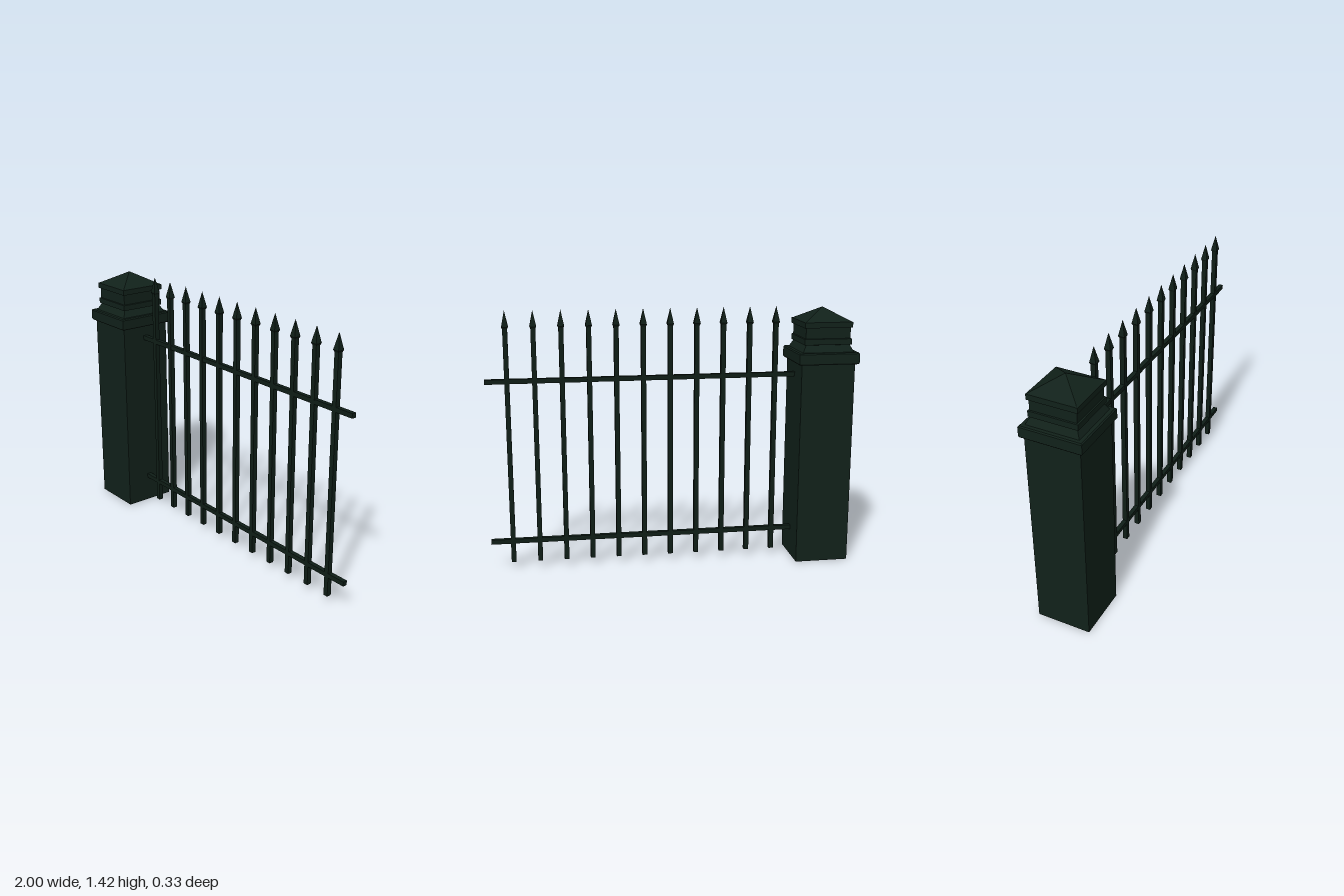
import * as THREE from 'three';

const postPaint = new THREE.MeshStandardMaterial({ color: 0x11211a, flatShading: true });
const railPaint = new THREE.MeshStandardMaterial({ color: 0x0f1e17, flatShading: true });

// Square turned shape from [half width, height] pairs, bottom to top
function squareProfile(pairs) {
  const points = pairs.map(([half, y]) => new THREE.Vector2(half * Math.SQRT2, y));
  return new THREE.LatheGeometry(points, 4, Math.PI / 4);
}

function addMesh(parent, name, geometry, material, x = 0, y = 0) {
  const mesh = new THREE.Mesh(geometry, material);
  mesh.name = name;
  mesh.position.set(x, y, 0);
  parent.add(mesh);
}

export function createModel() {
  const model = new THREE.Group();
  model.name = 'fenceSection';

  // Pillar: square shaft and stepped, pyramid-topped cap
  const post = new THREE.Group();
  post.name = 'post';
  post.position.x = -0.833;
  addMesh(post, 'postShaft', squareProfile([[0, 0], [0.148, 0], [0.148, 1.12], [0, 1.12]]), postPaint);
  addMesh(post, 'postCap', squareProfile([
    [0, 1.12], [0.162, 1.12], [0.167, 1.127], [0.167, 1.178], [0.161, 1.184],
    [0.142, 1.184], [0.122, 1.222], [0.131, 1.224], [0.131, 1.255], [0.124, 1.257],
    [0.124, 1.315], [0.133, 1.315], [0.133, 1.345], [0.126, 1.347], [0, 1.417],
  ]), postPaint);
  model.add(post);

  // Horizontal rails running from the pillar to the free end
  const railStart = -0.69;
  const railLength = 1 - railStart;
  const rail = new THREE.BoxGeometry(railLength, 0.025, 0.025);
  addMesh(model, 'upperRail', rail, railPaint, railStart + railLength / 2, 1.049);
  addMesh(model, 'lowerRail', rail, railPaint, railStart + railLength / 2, 0.16);

  // Upright pickets with spear points
  const shaft = new THREE.BoxGeometry(0.026, 1.295, 0.026);
  const spear = squareProfile([[0, 1.328], [0.013, 1.328], [0.018, 1.338], [0, 1.424]]);
  for (let i = 0; i < 11; i++) {
    const picket = new THREE.Group();
    picket.name = `picket${i + 1}`;
    picket.position.x = -0.574 + i * 0.1456;
    addMesh(picket, 'picketShaft', shaft, railPaint, 0, 0.04 + 1.295 / 2);
    addMesh(picket, 'picketSpear', spear, railPaint);
    model.add(picket);
  }
  return model;
}
